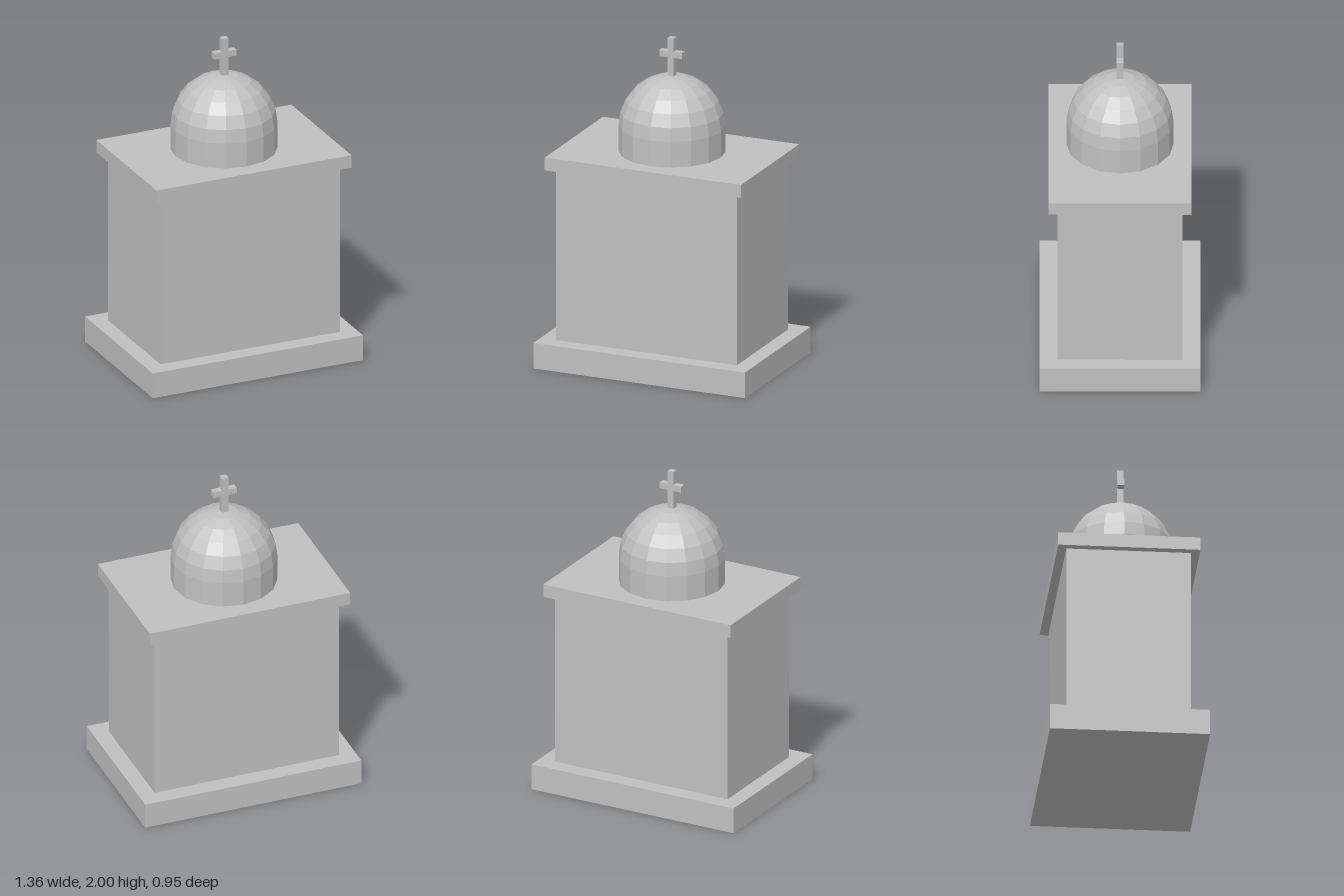
import * as THREE from 'three';

export function createModel() {
  const model = new THREE.Group();
  const stone = new THREE.MeshStandardMaterial({ color: 0xc0c0c0, flatShading: true });
  stone.name = 'grey stone';

  function add(name, geometry, parent = model) {
    const mesh = new THREE.Mesh(geometry, stone);
    mesh.name = name;
    parent.add(mesh);
    return mesh;
  }

  // Box given by its width, depth, bottom and top heights
  function block(name, width, depth, bottom, top, parent) {
    const mesh = add(name, new THREE.BoxGeometry(width, top - bottom, depth), parent);
    mesh.position.y = (bottom + top) / 2;
    return mesh;
  }

  // Stepped building
  block('plinth', 1.364, 0.946, 0, 0.158);
  block('body', 1.164, 0.736, 0.158, 1.217);
  block('cornice', 1.264, 0.84, 1.217, 1.297);

  // Sixteen-sided drum rising into a dome, as one profile
  const radius = 0.315, springLine = 1.455, rings = 6;
  const profile = [new THREE.Vector2(radius, 1.297)];
  for (let i = 0; i <= rings; i++) {
    const a = (i / rings) * Math.PI / 2;
    profile.push(new THREE.Vector2(i === rings ? 0 : radius * Math.cos(a), springLine + radius * Math.sin(a)));
  }
  add('dome', new THREE.LatheGeometry(profile, 16));

  // Cross on top of the dome
  const cross = new THREE.Group();
  cross.name = 'cross';
  model.add(cross);
  block('crossPost', 0.04, 0.04, 1.755, 2, cross);
  for (const side of [-1, 1]) {
    const arm = block(side > 0 ? 'leftArm' : 'rightArm', 0.053, 0.04, 1.88, 1.918, cross);
    arm.position.x = side * 0.0465;
  }
  return model;
}
